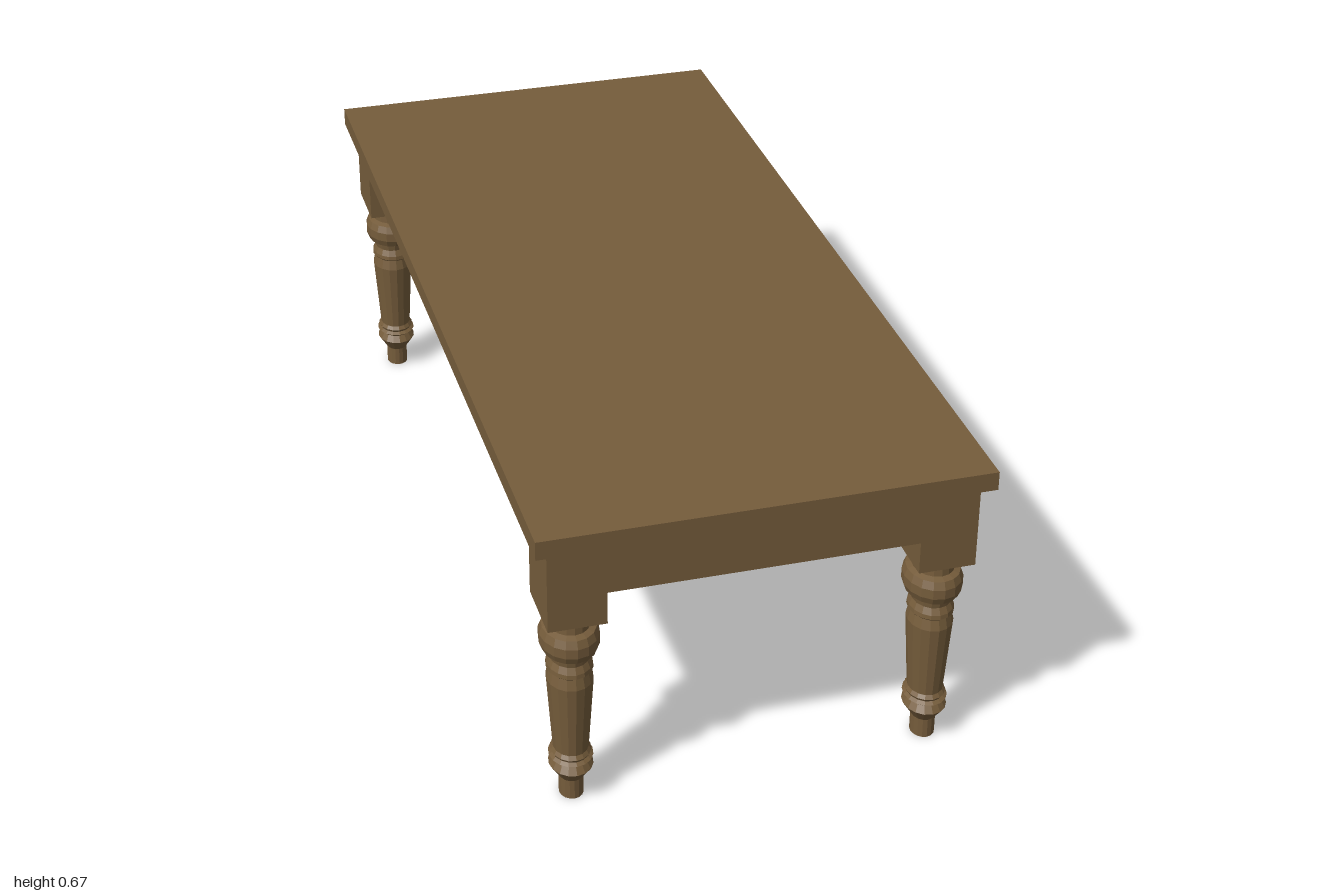
import * as THREE from 'three';

export function createModel() {
  const table = new THREE.Group();
  table.name = 'table';
  const wood = new THREE.MeshStandardMaterial({ color: 0x755c3b, flatShading: true });
  wood.name = 'brown wood';

  // Box given by its lower and upper limits
  const box = (name, [x0, x1], [y0, y1], [z0, z1]) => {
    const mesh = new THREE.Mesh(new THREE.BoxGeometry(x1 - x0, y1 - y0, z1 - z0), wood);
    mesh.name = name;
    mesh.position.set((x0 + x1) / 2, (y0 + y1) / 2, (z0 + z1) / 2);
    table.add(mesh);
  };

  const topY = 0.63;
  const blockY = 0.446;
  const apronY = 0.517;
  const inX = 0.316, outX = 0.434;
  const inZ = 0.834, outZ = 0.978;

  box('tableTop', [-0.46, 0.46], [topY, 0.67], [-1, 1]);

  // Turned leg profile: radius, height
  const profile = [
    [0, 0], [0.025, 0], [0.025, 0.044], [0.045, 0.075], [0.036, 0.09],
    [0.038, 0.094], [0.045, 0.098], [0.038, 0.103], [0.041, 0.109], [0.036, 0.117],
    [0.047, 0.285], [0.042, 0.308], [0.047, 0.313], [0.046, 0.322], [0.04, 0.336],
    [0.042, 0.35], [0.054, 0.357], [0.06, 0.373], [0.06, 0.394], [0.054, 0.41],
    [0.042, 0.414], [0.041, 0.435], [0.048, blockY], [0, blockY],
  ].map(([r, y]) => new THREE.Vector2(r, y));
  const legGeometry = new THREE.LatheGeometry(profile, 16);

  for (const sx of [-1, 1]) {
    for (const sz of [-1, 1]) {
      // Square corner block above each turned leg
      const span = (s, a, b) => (s > 0 ? [a, b] : [-b, -a]);
      box('legBlock', span(sx, inX, outX), [blockY, topY], span(sz, inZ, outZ));

      // The legs are slightly oval, longer along the table
      const leg = new THREE.Mesh(legGeometry, wood);
      leg.name = 'turnedLeg';
      leg.position.set(sx * (inX + outX) / 2, 0, sz * (inZ + outZ) / 2);
      leg.scale.z = 1.2;
      table.add(leg);
    }
    // Long side aprons set back from the blocks, end aprons flush with them
    box('sideApron', sx > 0 ? [inX, 0.42] : [-0.42, -inX], [apronY, topY], [-inZ, inZ]);
    box('endApron', [-inX, inX], [apronY, topY], sx > 0 ? [inZ, outZ] : [-outZ, -inZ]);
  }
  return table;
}
